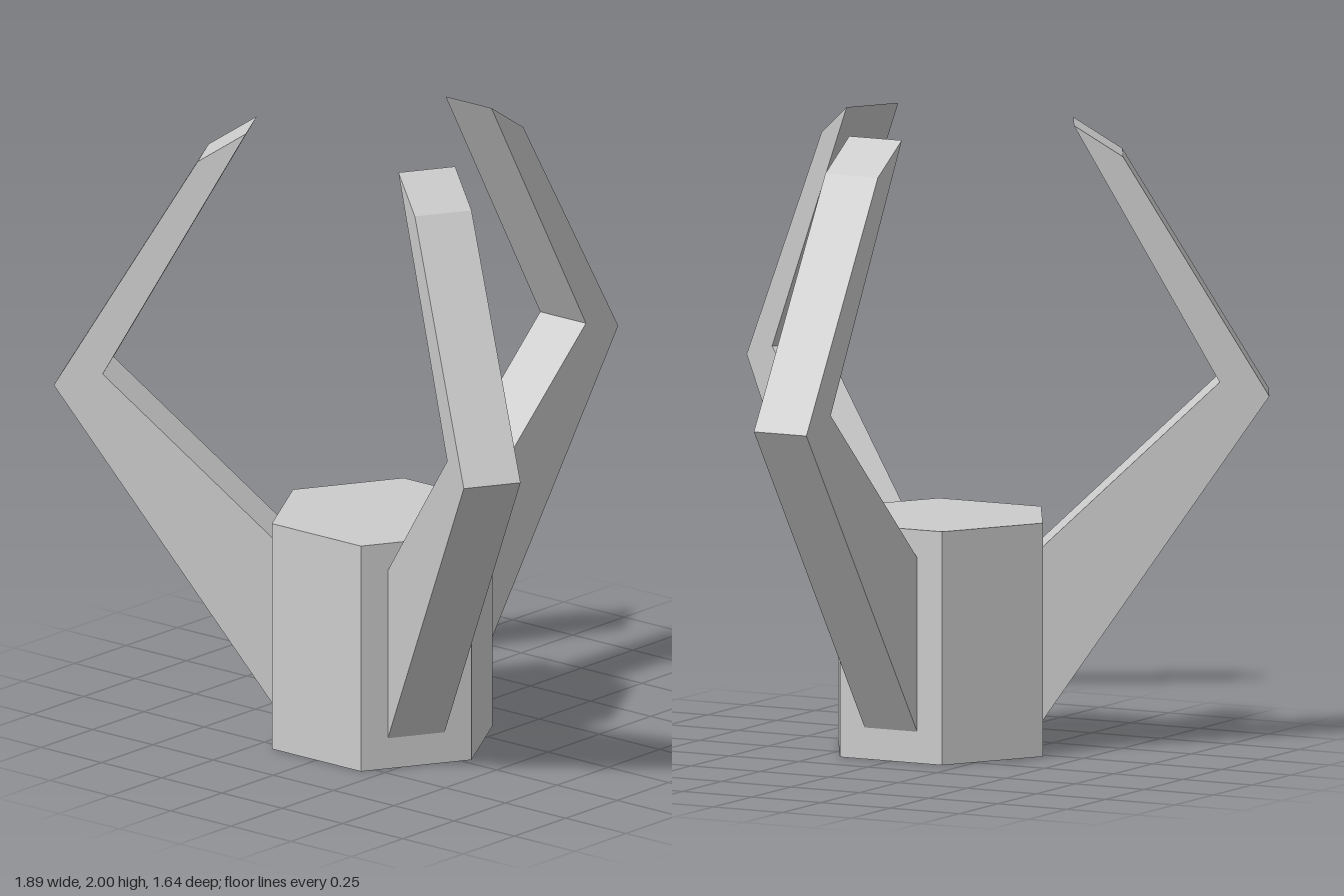
import * as THREE from 'three';

const material = new THREE.MeshStandardMaterial({ color: 0xcccccc, flatShading: true });

const HUB_Z = 0.22;       // hub axis sits forward of the centre
const HUB_HEIGHT = 0.745;
const HUB_RADIUS = 0.37;
const CLAW_WIDTH = 0.19;

// Claw outline: distance from the hub axis, height
const CLAW_OUTLINE = [
  [0.32, 0.1], [1.037, 1.135], [0.575, 1.9],
  [0.42, 2.0], [0.88, 1.18], [0.32, 0.655],
];

export function createModel() {
  const model = new THREE.Group();
  model.name = 'clawGrabber';

  // Hexagonal hub with a flat face to the front and back
  const hubGeometry = new THREE.CylinderGeometry(
    HUB_RADIUS, HUB_RADIUS, HUB_HEIGHT, 6, 1, false, Math.PI / 6);
  const hub = new THREE.Mesh(hubGeometry, material);
  hub.name = 'hub';
  hub.position.set(0, HUB_HEIGHT / 2, HUB_Z);
  model.add(hub);

  // Three bent claws, one on every second face of the hub
  const outline = new THREE.Shape(CLAW_OUTLINE.map(([r, y]) => new THREE.Vector2(r, y)));
  const clawGeometry = new THREE.ExtrudeGeometry(outline, { depth: CLAW_WIDTH, bevelEnabled: false });
  clawGeometry.translate(0, 0, -CLAW_WIDTH / 2);

  ['backClaw', 'rightClaw', 'leftClaw'].forEach((name, i) => {
    const claw = new THREE.Mesh(clawGeometry, material);
    claw.name = name;
    claw.position.z = HUB_Z;
    claw.rotation.y = Math.PI / 2 + (i * Math.PI * 2) / 3;
    model.add(claw);
  });

  return model;
}
